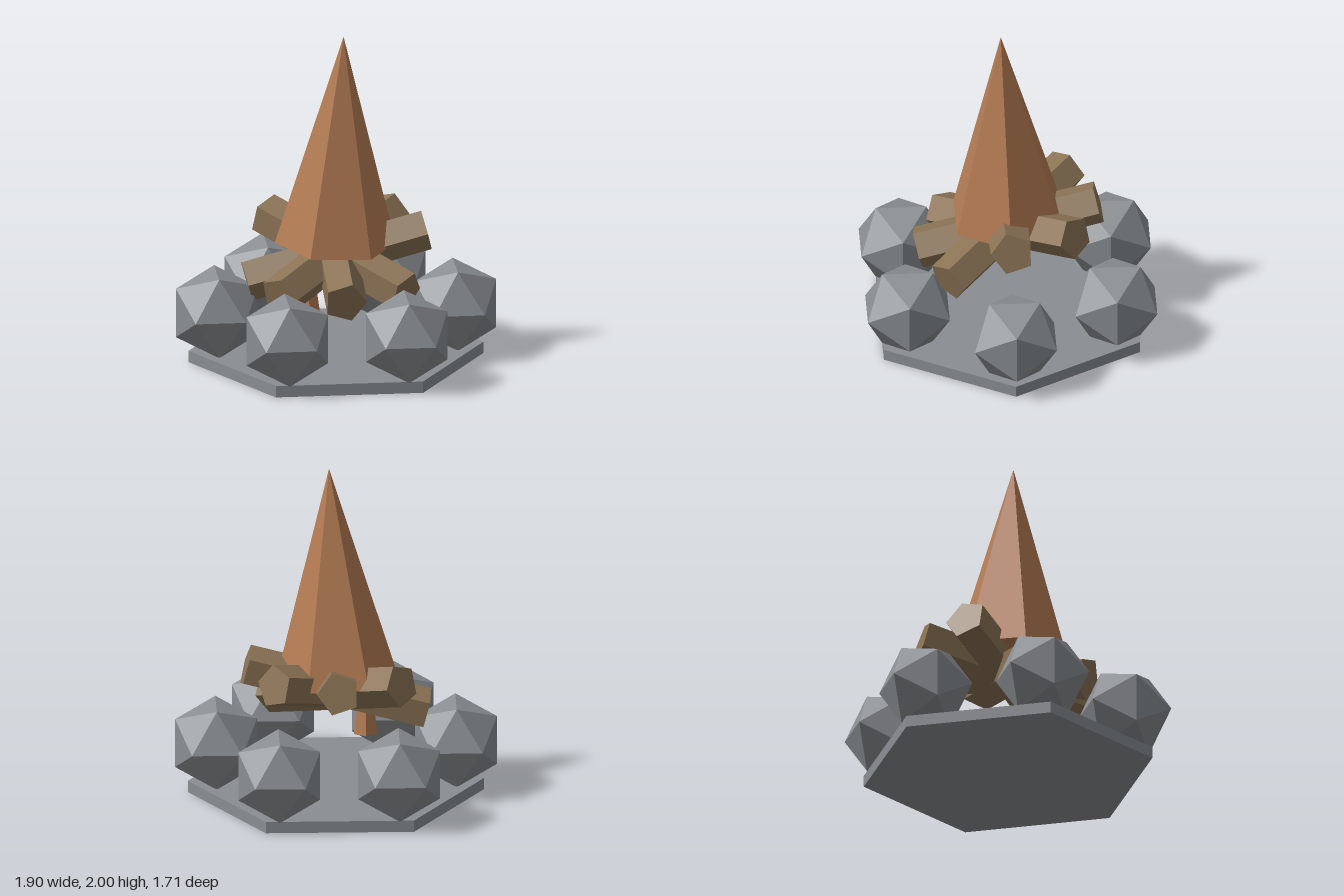
import * as THREE from 'three';

export function createModel() {
  const group = new THREE.Group();
  const mat = (name, color) => {
    const m = new THREE.MeshStandardMaterial({ color, flatShading: true });
    m.name = name;
    return m;
  };
  const stone = mat('stone grey', 0x8a8e92);
  const wood = mat('log brown', 0x8b7355);
  const flame = mat('flame orange', 0xb57c54);

  const add = (name, geometry, material, x, y, z) => {
    const mesh = new THREE.Mesh(geometry, material);
    mesh.name = name;
    mesh.position.set(x, y, z);
    group.add(mesh);
    return mesh;
  };

  // Hexagonal slab with corners on the x axis
  const slab = new THREE.CylinderGeometry(0.877, 0.877, 0.07, 6).rotateY(Math.PI / 6);
  add('base', slab, stone, 0, 0.035, 0);

  // Ring of six stones, all turned the same way
  const rock = new THREE.IcosahedronGeometry(0.285, 0).rotateY(Math.PI / 2);
  for (let i = 0; i < 6; i++) {
    const a = (i * Math.PI) / 3;
    add('stone' + (i + 1), rock, stone, 0.71 * Math.cos(a), 0.307, 0.71 * Math.sin(a));
  }

  // Four five-sided logs crossing at the middle, each raised at one end
  const log = new THREE.CylinderGeometry(0.13, 0.13, 1.105, 5).rotateZ(-Math.PI / 2 + 0.26);
  for (let i = 0; i < 4; i++) {
    add('log' + (i + 1), log, wood, 0, 0.643, 0).rotation.y = (i * Math.PI) / 4;
  }

  // Tall six-sided flame, leaning slightly
  const tall = new THREE.ConeGeometry(0.36, 1.29, 6).rotateY(Math.PI / 6).translate(0, 0.645, 0);
  add('flame', tall, flame, -0.005, 0.711, 0).rotation.set(0.035, 0, -0.035);

  // Small flame hidden under the logs
  const small = new THREE.ConeGeometry(0.08, 0.5, 6).translate(0, 0.25, 0);
  add('smallFlame', small, flame, -0.18, 0.32, 0.13);

  return group;
}
